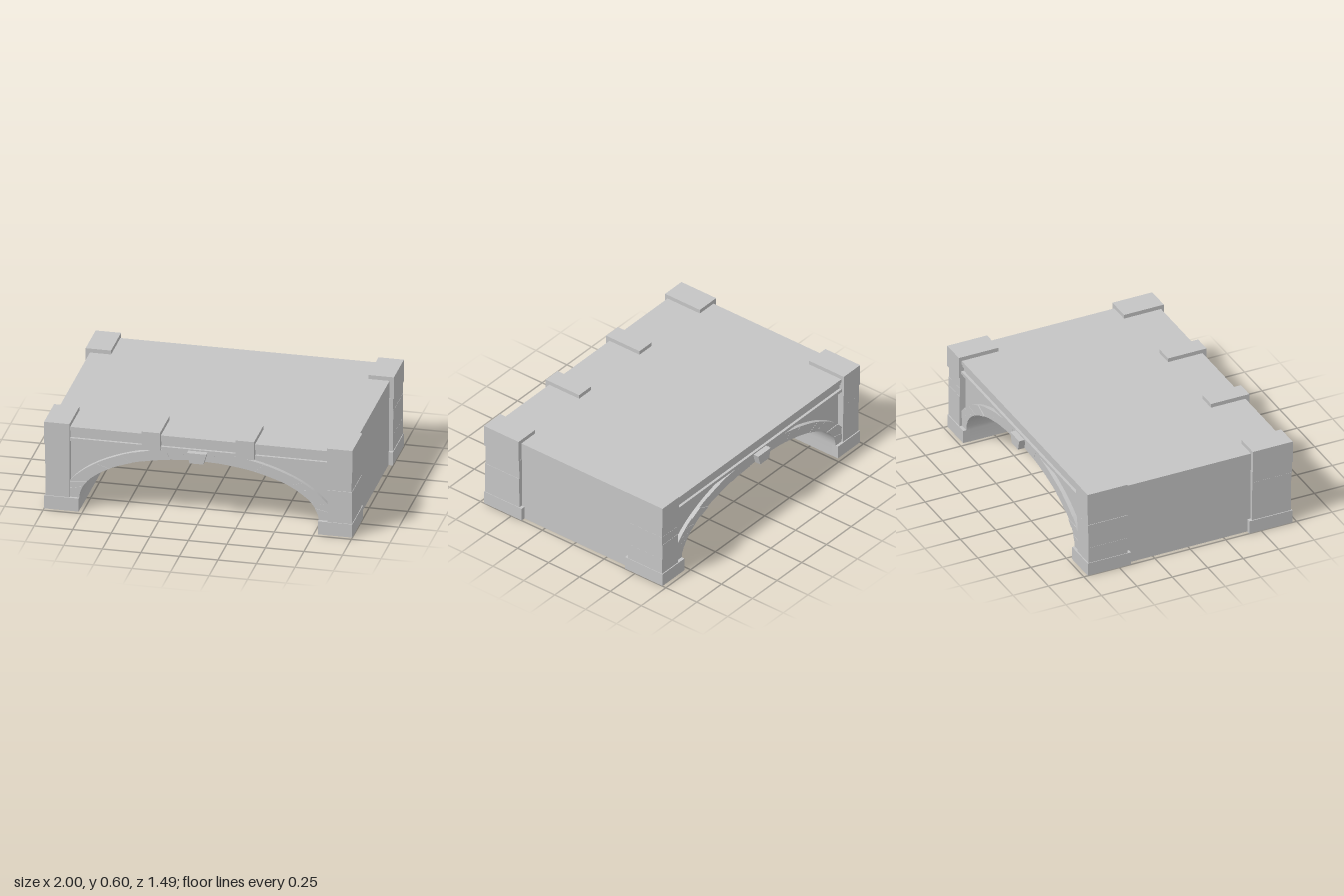
import * as THREE from 'three';
import { toCreasedNormals } from 'three/addons/utils/BufferGeometryUtils.js';

export function createModel() {
  const bridge = new THREE.Group();
  bridge.name = 'stoneBridge';
  const stone = new THREE.MeshStandardMaterial({ color: 0xc4c4c4 });
  stone.name = 'grey stone';

  const add = (name, geometry, parent = bridge) => {
    const mesh = new THREE.Mesh(geometry, stone);
    mesh.name = name;
    parent.add(mesh);
    return mesh;
  };
  // Box given by its minimum and maximum on each axis
  const box = (name, x0, x1, y0, y1, z0, z1, parent) => {
    const mesh = add(name, new THREE.BoxGeometry(x1 - x0, y1 - y0, Math.abs(z1 - z0)), parent);
    mesh.position.set((x0 + x1) / 2, (y0 + y1) / 2, (z0 + z1) / 2);
    return mesh;
  };
  // Extrusion of a profile in x and y, between two depths
  const extrude = (name, points, z0, z1, parent) => {
    const geometry = new THREE.ExtrudeGeometry(new THREE.Shape(points), {
      depth: Math.abs(z1 - z0), bevelEnabled: false
    });
    geometry.translate(0, 0, Math.min(z0, z1));
    return add(name, toCreasedNormals(geometry, 0.5), parent);
  };
  let seed = 7;
  const random = () => (seed = (seed * 16807) % 2147483647) / 2147483647;

  // Lower and upper edge of the arch ring
  const inner = t => new THREE.Vector2(0.775 * Math.cos(t), 0.09 + 0.33 * Math.sin(t));
  const outer = t => new THREE.Vector2(0.9 * Math.cos(t), 0.033 + 0.457 * Math.sin(t));

  // Solid body with the barrel vault cut through it
  const outline = [
    new THREE.Vector2(0.775, 0), new THREE.Vector2(0.97, 0),
    new THREE.Vector2(0.97, 0.55), new THREE.Vector2(-0.97, 0.55),
    new THREE.Vector2(-0.97, 0), new THREE.Vector2(-0.775, 0)
  ];
  for (let i = 0; i <= 48; i++) outline.push(inner(Math.PI * (1 - i / 48)));
  extrude('vaultedBody', outline, -0.675, 0.675);

  // Deck
  box('deck', -0.972, 0.972, 0.548, 0.573, -0.703, 0.703);

  for (const side of [1, -1]) {
    const face = new THREE.Group();
    face.name = side > 0 ? 'frontFace' : 'backFace';
    bridge.add(face);

    // Arch stones, each a little different in depth
    const count = 26;
    for (let i = 0; i < count; i++) {
      const points = [];
      for (let k = 0; k <= 3; k++) points.push(inner(Math.PI * (i + k / 3) / count));
      for (let k = 3; k >= 0; k--) points.push(outer(Math.PI * (i + k / 3) / count));
      extrude('archStone', points.reverse(), side * 0.6, side * (0.699 + 0.007 * random()), face);
    }

    // Keystone
    extrude('keystone', [
      new THREE.Vector2(-0.052, 0.418), new THREE.Vector2(0.038, 0.418),
      new THREE.Vector2(0.058, 0.488), new THREE.Vector2(-0.068, 0.488)
    ], side * 0.6, side * 0.745, face);

    // Parapet mouldings
    box('stringCourse', -0.86, 0.86, 0.476, 0.497, side * 0.6, side * 0.706, face);
    box('parapetPanel', -0.86, 0.86, 0.497, 0.53, side * 0.6, side * 0.688, face);
    box('parapetRail', -0.86, 0.86, 0.53, 0.55, side * 0.6, side * 0.697, face);

    // Corner piers built in courses
    for (const hand of [1, -1]) {
      const pier = new THREE.Group();
      pier.name = 'cornerPier';
      face.add(pier);
      const block = (name, x0, x1, y0, y1, z0, z1) => {
        const [a, b] = hand > 0 ? [x0, x1] : [-x1, -x0];
        box(name, a, b, y0, y1, side * z0, side * z1, pier);
      };
      block('plinth', 0.776, 0.999, 0, 0.09, 0.418, 0.722);
      const levels = [0.09, 0.2, 0.31, 0.37, 0.45];
      for (let i = 0; i < 4; i++) {
        block('course', 0.837, 0.992 + 0.005 * random(), levels[i], levels[i + 1],
          0.44, 0.712 + 0.007 * random());
      }
      block('pierCap', 0.835, 1, 0.45, 0.6, 0.442, 0.723);
    }
  }

  // Two short posts on the front parapet
  for (const x of [-0.307, 0.304]) {
    box('parapetPost', x - 0.06, x + 0.06, 0.475, 0.6, 0.46, 0.731);
  }
  return bridge;
}
